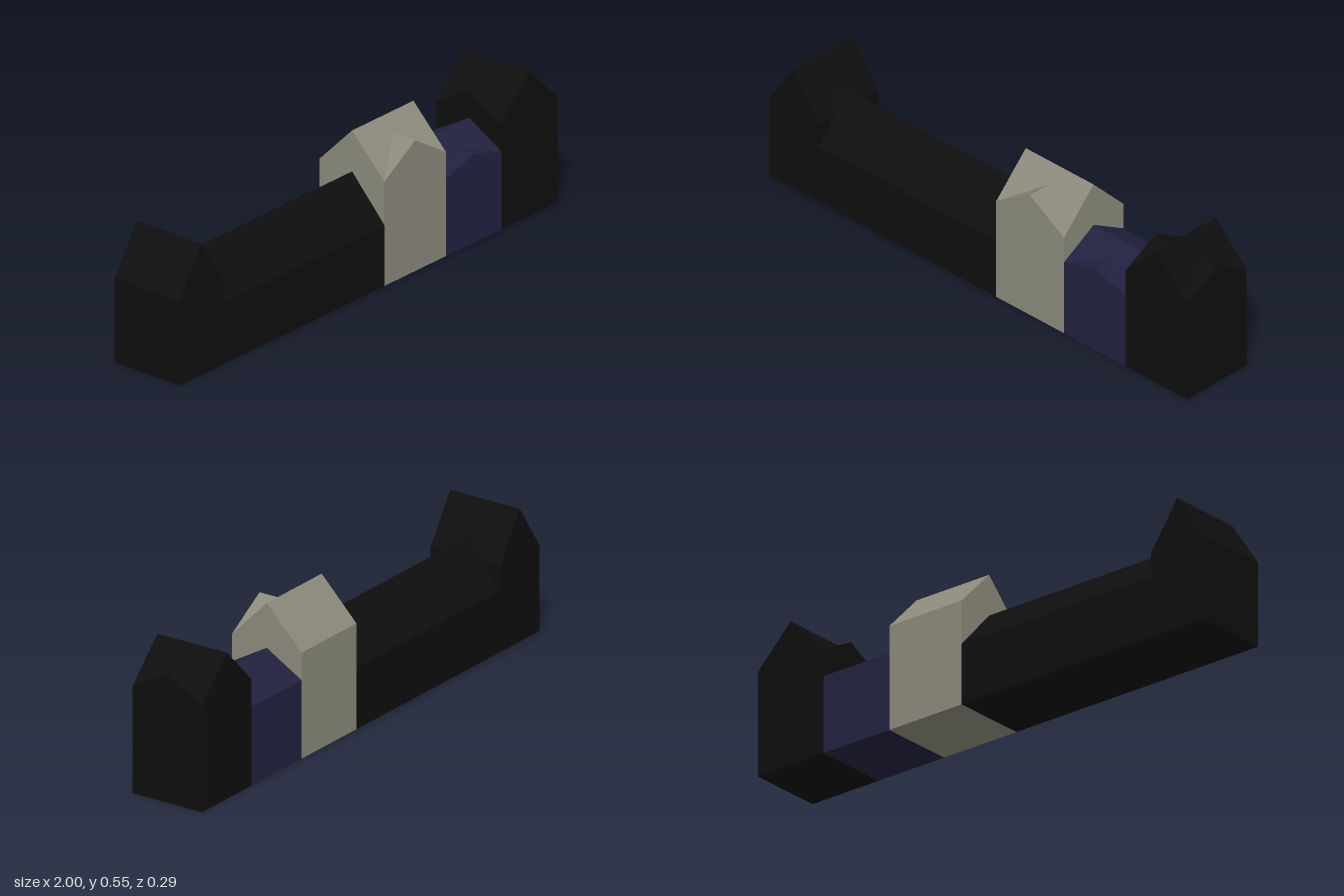
import * as THREE from 'three';

const D = 0.147; // half depth of the whole row

const paint = (color) => new THREE.MeshStandardMaterial({ color, flatShading: true });

// House body with a pitched roof; the pentagon section is extruded along its ridge.
function gabledBlock(name, x0, x1, eave, ridge, axis, material) {
  const half = axis === 'x' ? D : (x1 - x0) / 2;
  const length = axis === 'x' ? x1 - x0 : 2 * D;
  const section = new THREE.Shape([
    new THREE.Vector2(-half, 0),
    new THREE.Vector2(half, 0),
    new THREE.Vector2(half, eave),
    new THREE.Vector2(0, ridge),
    new THREE.Vector2(-half, eave),
  ]);
  const geometry = new THREE.ExtrudeGeometry(section, { depth: length, bevelEnabled: false });
  geometry.translate(0, 0, -length / 2);
  if (axis === 'x') geometry.rotateY(Math.PI / 2);
  geometry.translate((x0 + x1) / 2, 0, 0);
  const mesh = new THREE.Mesh(geometry, material);
  mesh.name = name;
  return mesh;
}

// Gable on the front wall whose level ridge runs back into the main roof slope.
function frontGable(name, x0, x1, eave, peak, ridge, material) {
  const xm = (x0 + x1) / 2;
  const zBack = D * (1 - (peak - eave) / (ridge - eave));
  const left = [x0, eave, D], right = [x1, eave, D];
  const tip = [xm, peak, D], back = [xm, peak, zBack];
  const geometry = new THREE.BufferGeometry();
  geometry.setAttribute('position', new THREE.Float32BufferAttribute([
    left, right, tip, // wall
    left, tip, back, // roof slopes
    right, back, tip,
  ].flat(), 3));
  geometry.computeVertexNormals();
  const mesh = new THREE.Mesh(geometry, material);
  mesh.name = name;
  return mesh;
}

export function createModel() {
  const model = new THREE.Group();
  model.name = 'buildingRow';
  const black = paint(0x0e0e0e);
  const stone = paint(0x8c8a7c);
  const navy = paint(0x212140);

  // Long range; its roof runs into the slope of the end wing
  model.add(gabledBlock('longRange', -0.82, 0.085, 0.23, 0.39, 'x', black));
  model.add(gabledBlock('endWing', -1, -0.765, 0.32, 0.495, 'z', black));

  // Tall stone house with a front gable
  model.add(gabledBlock('stoneHouse', 0.085, 0.41, 0.395, 0.545, 'x', stone));
  model.add(frontGable('stoneFrontGable', 0.085, 0.41, 0.395, 0.495, 0.545, stone));

  // Low blue house with a shallow front gable
  model.add(gabledBlock('blueHouse', 0.41, 0.705, 0.293, 0.378, 'x', navy));
  model.add(frontGable('blueFrontGable', 0.41, 0.705, 0.293, 0.335, 0.378, navy));

  // Corner house with two crossing roofs
  const corner = new THREE.Group();
  corner.name = 'cornerHouse';
  corner.add(gabledBlock('cornerLongRoofBody', 0.705, 1, 0.397, 0.475, 'x', black));
  corner.add(gabledBlock('cornerCrossRoofBody', 0.705, 1, 0.397, 0.545, 'z', black));
  model.add(corner);

  return model;
}
